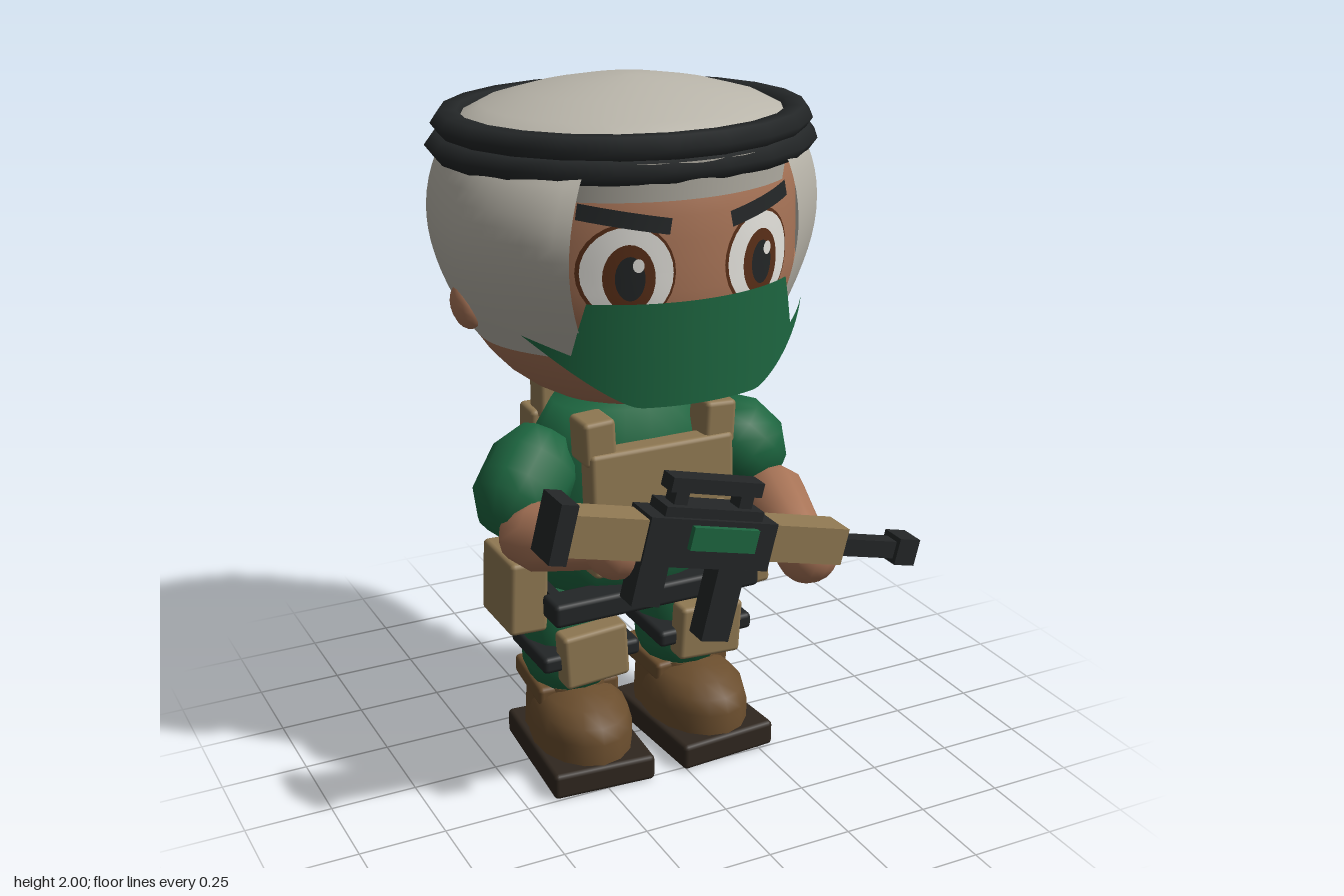
import * as THREE from 'three';
import { RoundedBoxGeometry } from 'three/addons/geometries/RoundedBoxGeometry.js';

const V = (x, y, z) => new THREE.Vector3(x, y, z);
const mat = (color, side = THREE.FrontSide) => new THREE.MeshStandardMaterial({ color, side });
const SKIN = mat(0xa87457), GREEN = mat(0x1d6640), TAN = mat(0x8f7852), TAN_DARK = mat(0x6f5c3d);
const BLACK = mat(0x232627), BOOT = mat(0x6b4e2e), SOLE = mat(0x30271f), BROWN = mat(0x5a2f18);
const WHITE = mat(0xe4e2dc), CLOTH = mat(0xb9b5aa, THREE.DoubleSide), MASK = mat(0x1d6640, THREE.DoubleSide);

function add(parent, name, geo, material, pos = [0, 0, 0], rot = [0, 0, 0], scale = [1, 1, 1]) {
  const m = new THREE.Mesh(geo, material);
  m.name = name;
  m.position.set(...pos);
  m.rotation.set(...rot);
  m.scale.set(...scale);
  parent.add(m);
  return m;
}
const box = (p, name, size, material, pos, rot) => add(p, name, new THREE.BoxGeometry(...size), material, pos, rot);
const softBox = (p, name, size, material, pos, rot) =>
  add(p, name, new RoundedBoxGeometry(...size, 2, 0.014), material, pos, rot);
const ball = (p, name, size, material, pos, rot) =>
  add(p, name, new THREE.SphereGeometry(1, 14, 10), material, pos, rot, size);
const lathe = (pts, seg) => new THREE.LatheGeometry(pts.map(([r, y]) => new THREE.Vector2(r, y)), seg);
const ramp = (x, a, b) => THREE.MathUtils.clamp((x - a) / (b - a), 0, 1);

// Rounded limb running from a to b
function limb(p, name, a, b, r1, r2, material) {
  const d = b.clone().sub(a), L = d.length();
  const geo = lathe([[0, -r1 * 0.6], [r1 * 0.7, -r1 * 0.4], [r1, L * 0.15], [(r1 + r2) / 2, L * 0.6],
    [r2, L * 0.9], [r2 * 0.6, L + r2 * 0.4], [0, L + r2 * 0.6]], 12);
  const m = add(p, name, geo, material, a.toArray());
  m.quaternion.setFromUnitVectors(V(0, 1, 0), d.normalize());
}

// Surface from a rule f(u, v) -> point, u and v in 0..1
function sheet(f, nu, nv) {
  const geo = new THREE.PlaneGeometry(1, 1, nu, nv), a = geo.attributes.position;
  for (let i = 0; i < a.count; i++) a.setXYZ(i, ...f(a.getX(i) + 0.5, 0.5 - a.getY(i)));
  geo.computeVertexNormals();
  return geo;
}

// Head outline: round jaw, fuller forehead
const HY = 1.52, HR = 0.43, HX = 0.48, HZ = 0.45, CZ = -0.03;
function headWidth(y) {
  const d = Math.min(1, Math.abs(y - HY) / HR), n = y > HY ? 4 : 2;
  return Math.pow(1 - d ** n, 1 / n);
}
const faceZ = (x, y) => CZ + HZ * Math.sqrt(Math.max(0, headWidth(y) ** 2 - (x / HX) ** 2));

// Lays a flat geometry onto the face
function decal(p, name, geo, material, x, y, lift) {
  geo.translate(x, y, 0);
  const a = geo.attributes.position;
  for (let i = 0; i < a.count; i++) a.setZ(i, faceZ(a.getX(i), a.getY(i)) + lift);
  geo.computeVertexNormals();
  add(p, name, geo, material);
}
const oval = (rx, ry) => new THREE.RingGeometry(0.001, 1, 28, 4).scale(rx, ry, 1);

function buildHead(g) {
  const prof = [];
  for (let i = 0; i <= 20; i++) {
    const y = HY - HR * Math.cos((i / 20) * Math.PI);
    prof.push([headWidth(y), y]);
  }
  add(g, 'head', lathe(prof, 36), SKIN, [0, 0, CZ], [0, 0, 0], [HX, 1, HZ]);
  for (const s of [-1, 1]) {
    ball(g, 'ear', [0.04, 0.066, 0.058], SKIN, [s * 0.485, 1.43, 0.01], [0, 0, s * -0.2]);
    decal(g, 'eyeRim', oval(0.119, 0.13), BROWN, s * 0.19, 1.575, 0.007);
    decal(g, 'eyeWhite', oval(0.111, 0.122), WHITE, s * 0.19, 1.575, 0.011);
    decal(g, 'iris', oval(0.063, 0.088), BROWN, s * 0.19, 1.565, 0.015);
    decal(g, 'pupil', oval(0.036, 0.058), BLACK, s * 0.19, 1.565, 0.019);
    decal(g, 'eyeGlint', oval(0.014, 0.018), WHITE, s * 0.19 + 0.018, 1.6, 0.023);
    const brow = new THREE.PlaneGeometry(0.22, 0.042, 8, 1).rotateZ(s * 0.18);
    decal(g, 'eyebrow', brow, BLACK, s * 0.195, 1.715, 0.016);
  }
  // Face mask: flat front, narrow pointed wings along the jaw
  add(g, 'faceMask', sheet((u, v) => {
    const th = (u * 2 - 1) * 1.0, x = 0.5 * Math.sin(th), k = Math.abs(x);
    const top = 1.5 - 0.14 * ramp(k, 0.295, 0.325) + 0.04 * ramp(k, 0.325, 0.42);
    const low = 1.22 + 0.18 * Math.pow(ramp(k, 0.17, 0.42), 1.35);
    return [x, top + (low - top) * v, CZ + 0.475 * Math.cos(th)];
  }, 48, 4), MASK);
}

function buildScarf(g) {
  // Draped cloth, open at the face, flared at the right cheek, falling to a point behind
  add(g, 'scarfDrape', sheet((u, v) => {
    const phi = (u * 2 - 1) * (Math.PI - 0.62 - 0.04 * v), c = Math.cos(phi);
    const drop = 0.23 * Math.pow(Math.max(0, 1 - Math.abs(phi) / 1.1), 1.1);
    const y = 1.84 + (1.33 - drop - 1.84) * v;
    const bulge = Math.sin(Math.PI * Math.pow(v, 0.8));
    const rx = 0.49 + 0.06 * bulge - 0.055 * v ** 3;
    const rz = c > 0 ? 0.45 + 0.085 * Math.sin(Math.PI * 0.75 * v) : 0.45 + 0.04 * bulge - 0.02 * v;
    const flare = 0.09 * bulge * ramp(phi, 1.7, 2.4);
    const fold = 1 + flare + 0.016 * Math.sin(Math.PI * 0.7 * v) * Math.cos(7 * phi);
    return [-rx * fold * Math.sin(phi), y, CZ - rz * fold * c];
  }, 64, 14), CLOTH);
  add(g, 'scarfBrowBand', new THREE.CylinderGeometry(1, 0.97, 0.1, 20, 1, true, -0.68, 1.36), CLOTH,
    [0, 1.805, CZ], [0, 0, 0], [0.49, 1, 0.455]);
  add(g, 'scarfCrown', lathe([[1, 1.87], [0.94, 1.9], [0.8, 1.935], [0.55, 1.968], [0.3, 1.99], [0.1, 1.999], [0, 2]], 24),
    CLOTH, [0, 0, CZ], [0, 0, 0], [0.49, 1, 0.43]);
  // Two stacked cord rings
  for (const [y, s] of [[1.833, 1], [1.89, 0.965]])
    add(g, 'headCord', new THREE.TorusGeometry(0.497, 0.049, 6, 22).rotateX(Math.PI / 2), BLACK,
      [0, y, CZ], [0, 0, 0], [s, 0.75, 0.86]);
}

function buildTorso(g) {
  add(g, 'torso', lathe([[0, 0.48], [0.18, 0.49], [0.27, 0.56], [0.303, 0.66], [0.305, 0.85], [0.28, 1],
    [0.22, 1.1], [0, 1.12]], 20), GREEN, [0, 0, -0.03], [0, 0, 0], [1, 1, 0.68]);
  // Chest rig
  softBox(g, 'chestPlate', [0.44, 0.36, 0.08], TAN, [0, 0.84, 0.19], [-0.06, 0, 0]);
  for (const x of [-0.13, 0, 0.13]) softBox(g, 'chestPouch', [0.12, 0.17, 0.05], TAN, [x, 0.75, 0.22]);
  for (const s of [-1, 1]) {
    softBox(g, 'frontShoulderStrap', [0.095, 0.13, 0.11], TAN, [s * 0.185, 1.05, 0.155], [0, 0, s * -0.05]);
    softBox(g, 'backShoulderStrap', [0.09, 0.16, 0.09], TAN, [s * 0.15, 1.07, -0.225]);
    softBox(g, 'hipPouch', [0.115, 0.22, 0.22], TAN, [s * 0.36, 0.575, -0.01], [0, 0, s * 0.04]);
    box(g, 'sideBelt', [0.03, 0.07, 0.34], BLACK, [s * 0.29, 0.55, -0.03]);
  }
  // Back panel with slats
  softBox(g, 'backPanel', [0.43, 0.32, 0.1], TAN, [0, 0.855, -0.262], [0.05, 0, 0]);
  box(g, 'backPanelInset', [0.33, 0.21, 0.02], TAN_DARK, [0, 0.87, -0.312], [0.05, 0, 0]);
  for (let i = 0; i < 4; i++) softBox(g, 'backSlat', [0.31, 0.03, 0.03], TAN_DARK, [0, 0.795 + i * 0.05, -0.325]);
  softBox(g, 'frontBelt', [0.65, 0.07, 0.1], BLACK, [0, 0.55, 0.15]);
  softBox(g, 'backBelt', [0.63, 0.075, 0.13], BLACK, [0, 0.55, -0.2]);
}

function buildLeg(g, s) {
  const leg = new THREE.Group();
  leg.name = s > 0 ? 'leftLeg' : 'rightLeg';
  leg.position.set(s * 0.185, 0, 0);
  g.add(leg);
  add(leg, 'trouserLeg', lathe([[0, 0.22], [0.11, 0.23], [0.138, 0.3], [0.145, 0.4], [0.135, 0.5], [0.09, 0.56],
    [0, 0.57]], 14), GREEN, [0, 0, -0.035]);
  softBox(leg, 'kneePad', [0.2, 0.165, 0.075], TAN, [0, 0.385, 0.135], [0, 0, s * -0.06]);
  softBox(leg, 'kneeStrap', [0.305, 0.05, 0.25], BLACK, [0, 0.37, 0.015]);
  // Boot
  const boot = new THREE.Group();
  boot.name = 'boot';
  boot.rotation.y = s * 0.07;
  leg.add(boot);
  softBox(boot, 'sole', [0.31, 0.078, 0.43], SOLE, [0, 0.039, 0.045]);
  add(boot, 'bootToe', lathe([[1, 0.07], [1, 0.14], [0.92, 0.185], [0.68, 0.22], [0.3, 0.24], [0, 0.245]], 16), BOOT,
    [0, 0, 0.05], [0, 0, 0], [0.145, 1, 0.2]);
  add(boot, 'bootShaft', new THREE.CylinderGeometry(0.125, 0.135, 0.18, 14), BOOT, [0, 0.15, -0.045]);
  softBox(boot, 'bootCollar', [0.25, 0.06, 0.23], BOOT, [0, 0.22, -0.065], [0.05, 0, 0]);
}

function buildArms(g) {
  const arms = [
    ['left', V(0.3, 0.95, 0), V(0.4, 0.85, 0.04), V(0.41, 0.77, 0.09), V(0.345, 0.715, 0.4)],
    ['right', V(-0.28, 0.96, 0), V(-0.405, 0.84, 0.08), V(-0.39, 0.8, 0.15), V(-0.235, 0.84, 0.38)],
  ];
  for (const [side, shoulder, cuff, elbow, wrist] of arms) {
    limb(g, side + 'Sleeve', shoulder, cuff, 0.13, 0.125, GREEN);
    limb(g, side + 'Forearm', elbow, wrist, 0.1, 0.075, SKIN);
    ball(g, side + 'Hand', [0.092, 0.09, 0.085], SKIN, [wrist.x, wrist.y, wrist.z + 0.03], [0, 0, -0.25]);
  }
}

function buildRifle(root) {
  const r = new THREE.Group();
  r.name = 'rifle';
  r.position.set(-0.083, 0.855, 0.485);
  r.rotation.z = -0.245;
  root.add(r);
  box(r, 'buttPlate', [0.05, 0.165, 0.115], BLACK, [-0.435, 0.005, 0]);
  box(r, 'stock', [0.24, 0.115, 0.1], TAN, [-0.305, 0, 0]);
  box(r, 'receiver', [0.39, 0.135, 0.115], BLACK, [0, 0, 0]);
  box(r, 'sidePanel', [0.2, 0.065, 0.03], GREEN, [0.03, 0.02, 0.06]);
  box(r, 'handguard', [0.24, 0.105, 0.1], TAN, [0.315, 0.01, 0]);
  box(r, 'barrel', [0.2, 0.05, 0.05], BLACK, [0.535, 0, 0]);
  box(r, 'muzzle', [0.068, 0.078, 0.078], BLACK, [0.66, 0, 0]);
  box(r, 'topRail', [0.3, 0.03, 0.09], BLACK, [0, 0.08, 0]);
  box(r, 'carryHandle', [0.28, 0.04, 0.06], BLACK, [0, 0.15, 0]);
  for (const u of [-0.1, 0.1]) box(r, 'handlePost', [0.04, 0.07, 0.05], BLACK, [u, 0.11, 0]);
  box(r, 'magazine', [0.085, 0.22, 0.07], BLACK, [0.1, -0.175, 0]);
  box(r, 'grip', [0.085, 0.13, 0.07], BLACK, [-0.14, -0.125, 0]);
}

export function createModel() {
  const root = new THREE.Group();
  root.name = 'soldier';
  const figure = new THREE.Group();
  figure.name = 'figure';
  figure.position.x = -0.058;
  root.add(figure);
  buildHead(figure);
  buildScarf(figure);
  buildTorso(figure);
  for (const s of [-1, 1]) buildLeg(figure, s);
  buildArms(figure);
  buildRifle(root);
  return root;
}
